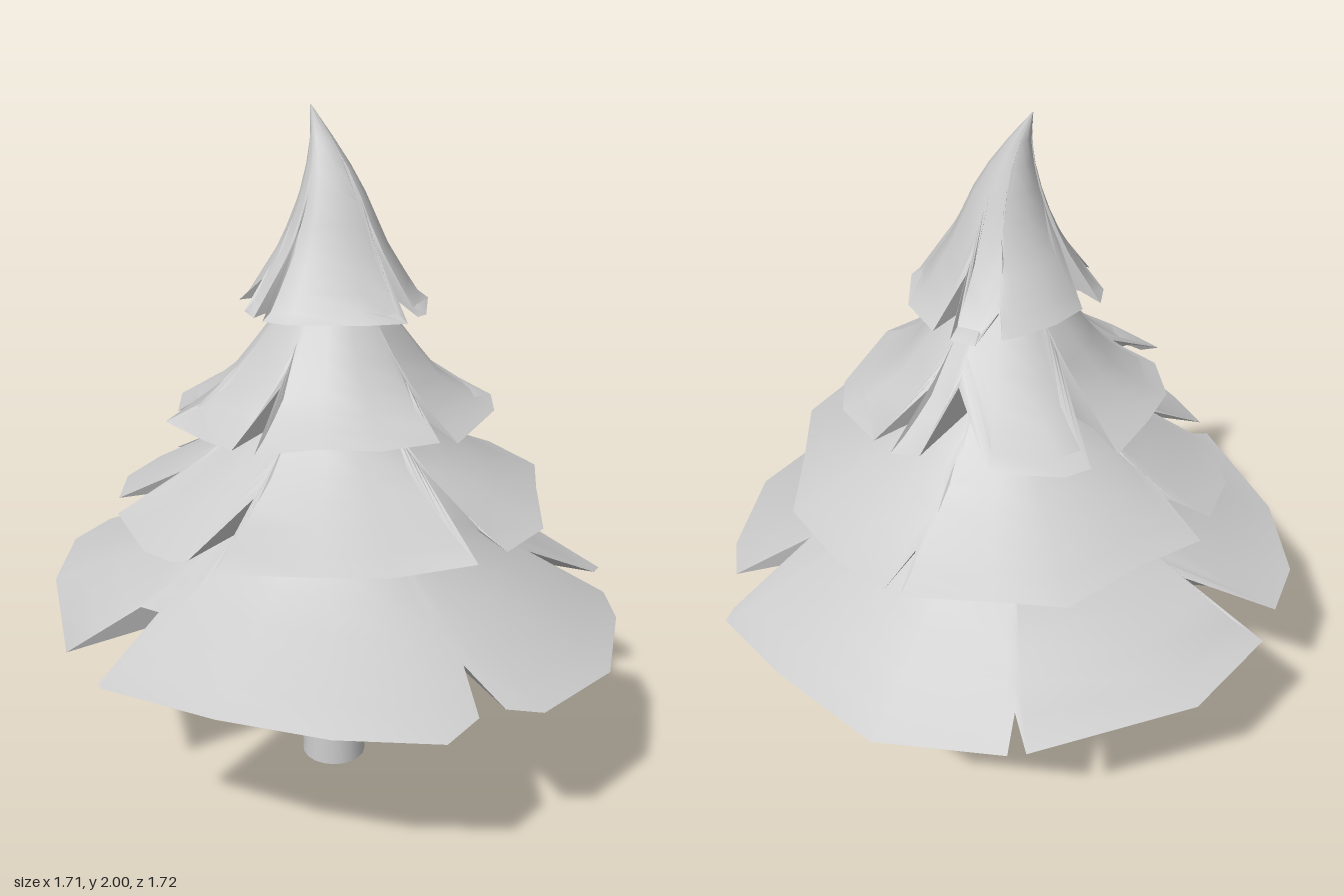
import * as THREE from 'three';
import { toCreasedNormals } from 'three/addons/utils/BufferGeometryUtils.js';

const material = new THREE.MeshStandardMaterial({ color: 0xcccccc, side: THREE.DoubleSide });

// Piecewise-linear height of a [radius, y] profile
function heightAt(profile, r) {
  for (let i = 1; i < profile.length; i++) {
    const [r0, y0] = profile[i - 1], [r1, y1] = profile[i];
    if (r <= r1) return y0 + (y1 - y0) * Math.max(0, (r - r0) / (r1 - r0));
  }
  return profile[profile.length - 1][1];
}

// A skirt of branches: the profile is swept out to a notched rim (x, z pairs),
// then folded under into a recessed flat underside.
function makeTier(name, { rim, profile, underY, tilt = [0, 0], rows = 7, lean = () => 0 }) {
  const positions = [], index = [];
  const count = rim.length / 2, stride = rows + 3;
  const inner = profile[0][0], outer = profile[profile.length - 1][0];
  for (let i = 0; i < count; i++) {
    const x = rim[2 * i], z = rim[2 * i + 1], R = Math.hypot(x, z);
    const add = (r, y) => {
      const px = x / R * r, pz = z / R * r;
      const drop = (tilt[0] * px + tilt[1] * pz) / outer * (r / outer);
      positions.push(px, y + drop, pz + lean(y));
    };
    for (let k = 0; k <= rows; k++) {
      const r = inner + (R - inner) * k / rows;
      add(r, heightAt(profile, r));
    }
    add(R * 0.78, underY);
    add(0.04, underY);
    const next = (i + 1) % count;
    for (let k = 0; k < stride - 1; k++) {
      const a = i * stride + k, b = next * stride + k;
      index.push(a, b, a + 1, b, b + 1, a + 1);
    }
  }
  const geometry = new THREE.BufferGeometry();
  geometry.setAttribute('position', new THREE.Float32BufferAttribute(positions, 3));
  geometry.setIndex(index);
  const mesh = new THREE.Mesh(toCreasedNormals(geometry, 0.75), material);
  mesh.name = name;
  return mesh;
}

// Rim outlines, running round from the back; the short radii are the notches
const bottomRim = [
  0, -0.86, 0.31, -0.81, 0.68, -0.5, 0.61, -0.42, 0.71, -0.46, 0.85, -0.12, 0.79, 0.25,
  0.7, 0.53, 0.65, 0.54, 0.4, 0.44, 0.54, 0.63, 0.43, 0.73, 0.14, 0.86, -0.17, 0.83,
  -0.25, 0.76, -0.24, 0.62, -0.33, 0.73, -0.46, 0.72, -0.65, 0.5, -0.78, 0.23, -0.86, -0.1,
  -0.85, -0.12, -0.6, -0.14, -0.6, -0.21, -0.8, -0.3, -0.54, -0.64, -0.31, -0.81,
  -0.13, -0.84, -0.01, -0.6];
const lowerRim = [
  0, -0.64, 0.2, -0.56, 0.43, -0.47, 0.53, -0.3, 0.64, -0.08, 0.52, -0.05, 0.64, -0.03,
  0.62, 0.15, 0.53, 0.37, 0.33, 0.49, 0.13, 0.63, -0.06, 0.63, -0.06, 0.55, -0.04, 0.32,
  -0.17, 0.61, -0.38, 0.48, -0.5, 0.33, -0.62, 0.09, -0.4, 0.04, -0.61, -0.01, -0.63, -0.05,
  -0.62, -0.16, -0.56, -0.28, -0.49, -0.4, -0.33, -0.3, -0.41, -0.48, -0.27, -0.59,
  -0.1, -0.62, -0.05, -0.53, -0.05, -0.44];
const upperRim = [
  -0.05, -0.43, 0.12, -0.43, 0.06, -0.2, 0.21, -0.4, 0.28, -0.36, 0.38, -0.19, 0.26, -0.02,
  0.42, 0, 0.44, 0.08, 0.27, 0.06, 0.42, 0.15, 0.35, 0.31, 0.24, 0.39, -0.04, 0.45,
  -0.03, 0.3, -0.08, 0.42, -0.24, 0.34, -0.34, 0.22, -0.44, 0.08, -0.27, 0.03, -0.45, 0.01,
  -0.44, -0.1, -0.4, -0.28, -0.24, -0.2, -0.32, -0.31, -0.2, -0.41];
const topRim = [
  -0.08, -0.25, -0.04, -0.14, 0, -0.24, 0.1, -0.22, 0.2, -0.15, 0.22, -0.13, 0.19, -0.1,
  0.27, -0.08, 0.28, -0.01, 0.17, 0.01, 0.27, 0.05, 0.2, 0.18, 0.06, 0.27, 0.02, 0.27,
  0, 0.14, -0.04, 0.28, -0.14, 0.22, -0.26, 0.05, -0.27, -0.03, -0.13, -0.02, -0.26, -0.07,
  -0.23, -0.13, -0.16, -0.12, -0.15, -0.22];

export function createModel() {
  const tree = new THREE.Group();
  tree.name = 'pineTree';

  // Tapered trunk
  const trunk = new THREE.Mesh(new THREE.CylinderGeometry(0.07, 0.098, 0.63, 20), material);
  trunk.name = 'trunk';
  trunk.position.y = 0.315;
  tree.add(trunk);

  // Four tiers of branches, bottom to top
  tree.add(makeTier('bottomBranches', {
    rim: bottomRim, underY: 0.61, tilt: [-0.025, -0.035],
    profile: [[0.2, 1], [0.3, 0.9], [0.42, 0.79], [0.6, 0.69], [0.82, 0.58], [0.86, 0.57]],
  }));
  tree.add(makeTier('lowerBranches', {
    rim: lowerRim, underY: 0.94, tilt: [0, 0.015],
    profile: [[0.13, 1.27], [0.22, 1.16], [0.35, 1.05], [0.48, 0.97], [0.61, 0.9], [0.64, 0.89]],
  }));
  tree.add(makeTier('upperBranches', {
    rim: upperRim, underY: 1.2,
    profile: [[0.08, 1.55], [0.14, 1.47], [0.22, 1.36], [0.3, 1.26], [0.42, 1.175], [0.45, 1.165]],
  }));
  tree.add(makeTier('topBranches', {
    rim: topRim, underY: 1.5, rows: 9,
    profile: [[0.001, 2], [0.03, 1.92], [0.08, 1.8], [0.14, 1.65], [0.2, 1.55], [0.25, 1.475], [0.28, 1.465]],
    // The tip curls backwards
    lean: (y) => -0.08 * Math.max(0, (y - 1.7) / 0.3) ** 2,
  }));
  return tree;
}
